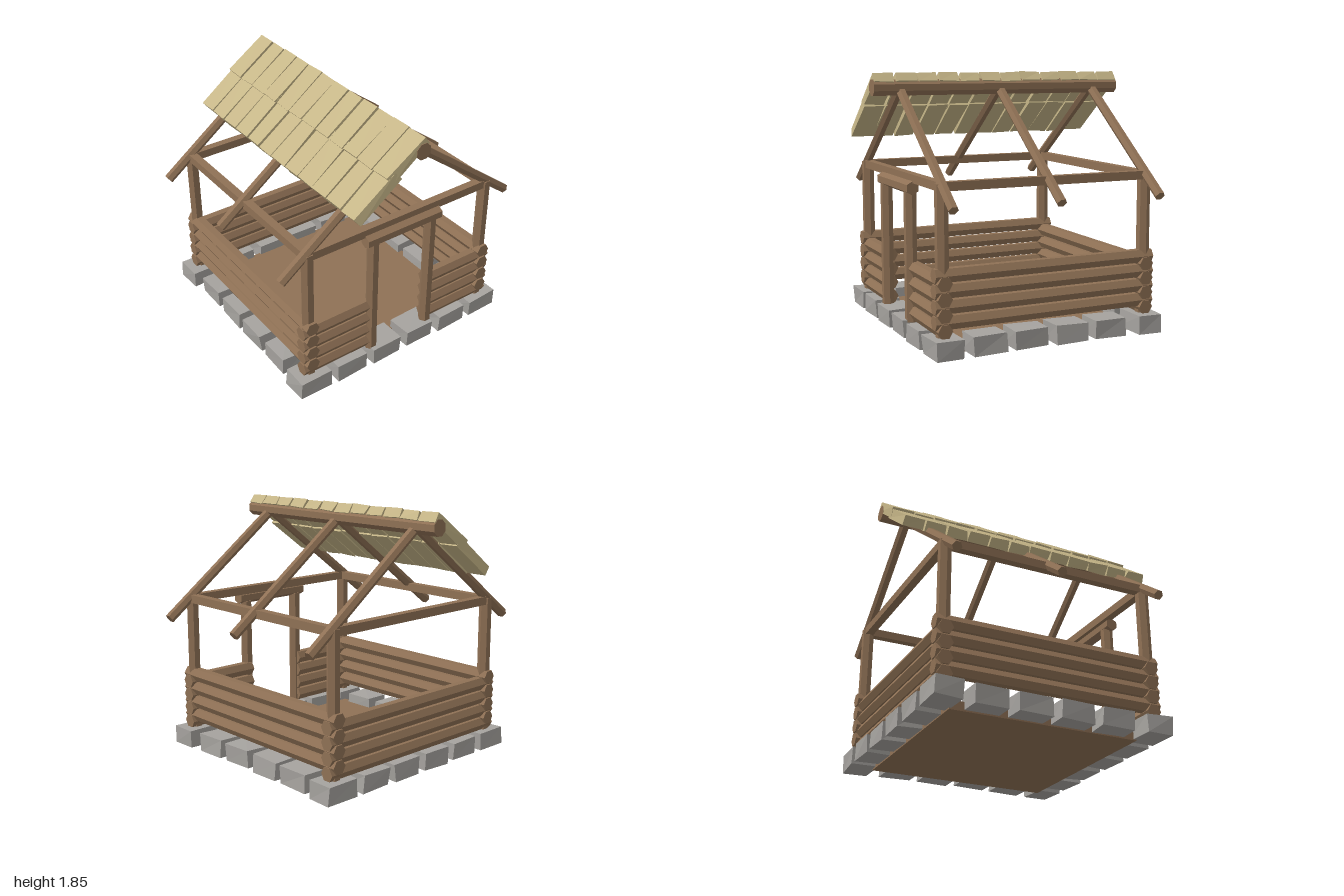
import * as THREE from 'three';

const mat = (name, color) => {
  const m = new THREE.MeshStandardMaterial({ color, flatShading: true });
  m.name = name;
  return m;
};

export function createModel() {
  const wood = mat('wood', 0x8f7155);
  const stone = mat('stone', 0xa6a39f);
  const straw = mat('straw shingle', 0xc6b688);
  const model = new THREE.Group();
  model.name = 'logCabinFrame';

  let seed = 7;
  const jitter = (a) => {
    seed = (seed * 16807) % 2147483647;
    return (seed / 2147483647 - 0.5) * 2 * a;
  };

  const group = (name) => {
    const g = new THREE.Group();
    g.name = name;
    model.add(g);
    return g;
  };

  // Round timber between two points
  const UP = new THREE.Vector3(0, 1, 0);
  const log = (parent, name, a, b, r, roll = 0, sides = 6) => {
    const start = new THREE.Vector3(...a);
    const end = new THREE.Vector3(...b);
    const dir = end.clone().sub(start);
    const geo = new THREE.CylinderGeometry(r, r, dir.length(), sides);
    geo.rotateY(roll);
    const mesh = new THREE.Mesh(geo, wood);
    mesh.name = name;
    mesh.position.copy(start).add(end).multiplyScalar(0.5);
    mesh.quaternion.setFromUnitVectors(UP, dir.normalize());
    parent.add(mesh);
  };

  // Box whose eight corners are nudged for a hand-cut look
  const roughBox = (w, h, d, jx, jy, jz) => {
    const geo = new THREE.BoxGeometry(w, h, d);
    const nudges = Array.from({ length: 8 }, () => [jitter(jx), jitter(jy), jitter(jz)]);
    const p = geo.attributes.position;
    for (let i = 0; i < p.count; i++) {
      const n = nudges[(p.getX(i) > 0 ? 1 : 0) + (p.getY(i) > 0 ? 2 : 0) + (p.getZ(i) > 0 ? 4 : 0)];
      p.setXYZ(i, p.getX(i) + n[0], p.getY(i) + n[1], p.getZ(i) + n[2]);
    }
    geo.computeVertexNormals();
    return geo;
  };

  const box = (parent, name, w, h, d, x, y, z) => {
    const mesh = new THREE.Mesh(new THREE.BoxGeometry(w, h, d), wood);
    mesh.name = name;
    mesh.position.set(x, y, z);
    parent.add(mesh);
  };

  // Floor slab
  box(model, 'floor', 1.42, 0.064, 1.38, 0, 0.032, 0);

  // Foundation stones: six along front and back, four along each side
  const stones = group('foundation');
  const addStone = (w, d, x, z) => {
    const mesh = new THREE.Mesh(roughBox(w, 0.13, d, 0.008, 0.005, 0.008), stone);
    mesh.name = 'foundationStone';
    mesh.position.set(x, 0.073, z);
    stones.add(mesh);
  };
  for (const s of [-1, 1]) {
    for (let i = 0; i < 6; i++) addStone(0.245, 0.195, (i - 2.5) * 0.308, s * 0.767);
    for (let i = 0; i < 4; i++) addStone(0.19, 0.245, s * 0.767, (i - 1.5) * 0.308);
  }

  // Interlocking log walls, the front one open at the doorway
  const walls = group('walls');
  const W = 0.77, L = 0.83, R = 0.053;
  for (let i = 0; i < 4; i++) {
    const y = 0.186 + i * 0.105;
    log(walls, 'backLog', [-L, y, -W], [L, y, -W], R);
    for (const s of [-1, 1]) {
      log(walls, 'frontLog', [s * 0.24, y, W], [s * L, y, W], R);
      log(walls, 'sideLog', [s * W, y + 0.05, -L], [s * W, y + 0.05, L], R, Math.PI / 6);
    }
  }

  // Corner posts, top beams and rafters
  const frame = group('frame');
  for (const s of [-1, 1]) {
    for (const t of [-1, 1]) {
      log(frame, 'cornerPost', [s * W, 0.1, t * W], [s * W, 1.15, t * W], 0.046, Math.PI / 6);
    }
    box(frame, 'sideBeam', 0.06, 0.06, 1.52, s * W, 1.132, 0);
    box(frame, 'endBeam', 1.52, 0.06, 0.06, 0, 1.132, s * W);
    for (const z of [-W, 0, W]) {
      log(frame, 'rafter', [0, 1.735, z], [s * 0.976, 1.003, z], 0.036);
    }
  }
  log(frame, 'ridgePole', [0, 1.743, -0.975], [0, 1.743, 0.975], 0.061, Math.PI / 8, 8);

  // Doorway
  const door = group('doorway');
  for (const s of [-1, 1]) {
    log(door, 'doorPost', [s * 0.25, 0.12, 0.795], [s * 0.25, 1.04, 0.795], 0.045, Math.PI / 6);
  }
  log(door, 'lintel', [-0.32, 1.068, 0.8], [0.32, 1.068, 0.8], 0.048, Math.PI / 6);

  // Two overlapping rows of shingles on one roof slope
  const roof = group('shingles');
  const rows = [
    { low: [-0.517, 1.395], high: [-0.2, 1.635] },
    { low: [-0.265, 1.603], high: [0.028, 1.817] },
  ];
  for (const { low, high } of rows) {
    const dx = high[0] - low[0], dy = high[1] - low[1];
    for (let i = 0; i < 12; i++) {
      const geo = roughBox(Math.hypot(dx, dy), 0.074, 0.15, 0.004, 0.005, 0.009);
      const mesh = new THREE.Mesh(geo, straw);
      mesh.name = 'shingle';
      mesh.position.set((low[0] + high[0]) / 2, (low[1] + high[1]) / 2, (i - 5.5) * 0.163);
      mesh.rotation.z = Math.atan2(dy, dx);
      roof.add(mesh);
    }
  }
  return model;
}
